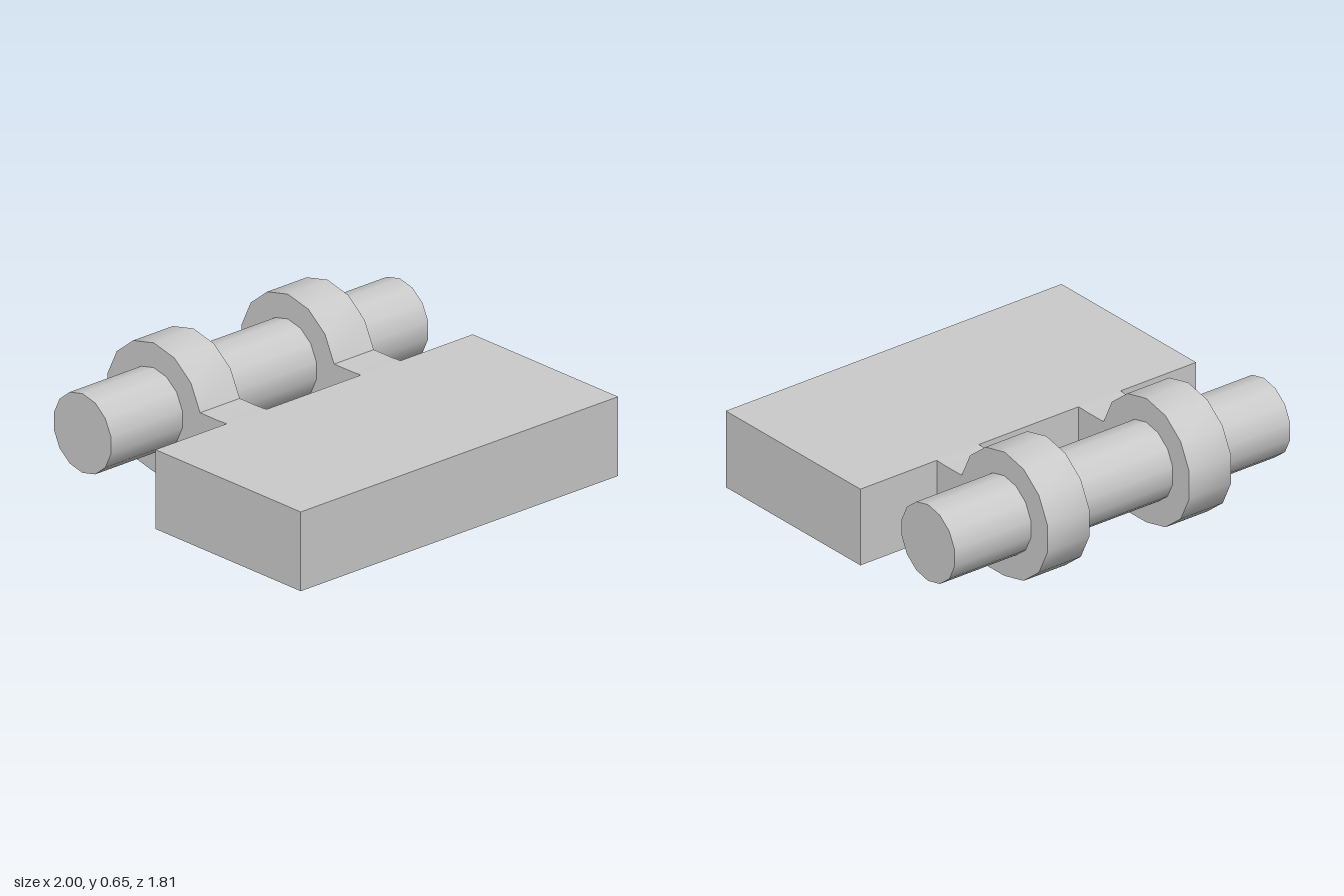
import * as THREE from 'three';
import { toCreasedNormals } from 'three/addons/utils/BufferGeometryUtils.js';

const SIDES = 14;          // facets of the pin and knuckles
const AXIS_Y = 0.325;      // height of the hinge axis
const AXIS_Z = -0.59;      // depth of the hinge axis
const KNUCKLE_RADIUS = 0.325;
const BLOCK_BACK = -0.09;

export function createModel() {
  const group = new THREE.Group();
  const material = new THREE.MeshStandardMaterial({ color: 0xcccccc });
  const add = (name, geometry, x, y, z) => {
    const mesh = new THREE.Mesh(geometry, material);
    mesh.name = name;
    mesh.position.set(x, y, z);
    group.add(mesh);
  };

  // Base block
  const depth = 0.905 - BLOCK_BACK;
  add('baseBlock', new THREE.BoxGeometry(2, 0.4, depth), 0, 0.2, BLOCK_BACK + depth / 2);

  // Hinge pin along x, with a facet corner at the top
  const pin = new THREE.CylinderGeometry(0.2, 0.2, 2, SIDES, 1, false, Math.PI / 2);
  pin.rotateZ(Math.PI / 2);
  add('hingePin', pin, 0, AXIS_Y, AXIS_Z);

  // Arm and knuckle in one side profile: along the bottom, round the pin, back along the top
  const profile = [new THREE.Vector2(-BLOCK_BACK, 0)];
  for (let i = 0; i <= 10; i++) {
    const a = -Math.PI / 2 + (i * 2 * Math.PI) / SIDES;
    profile.push(new THREE.Vector2(
      -AXIS_Z + KNUCKLE_RADIUS * Math.cos(a),
      AXIS_Y + KNUCKLE_RADIUS * Math.sin(a)
    ));
  }
  profile.push(new THREE.Vector2(0.15, 0.397), new THREE.Vector2(-BLOCK_BACK, 0.4));

  const extruded = new THREE.ExtrudeGeometry(new THREE.Shape(profile), { depth: 0.25, bevelEnabled: false });
  extruded.rotateY(Math.PI / 2);
  const knuckle = toCreasedNormals(extruded, 0.6);
  add('leftKnuckle', knuckle, 0.295, 0, 0);
  add('rightKnuckle', knuckle, -0.55, 0, 0);

  return group;
}
